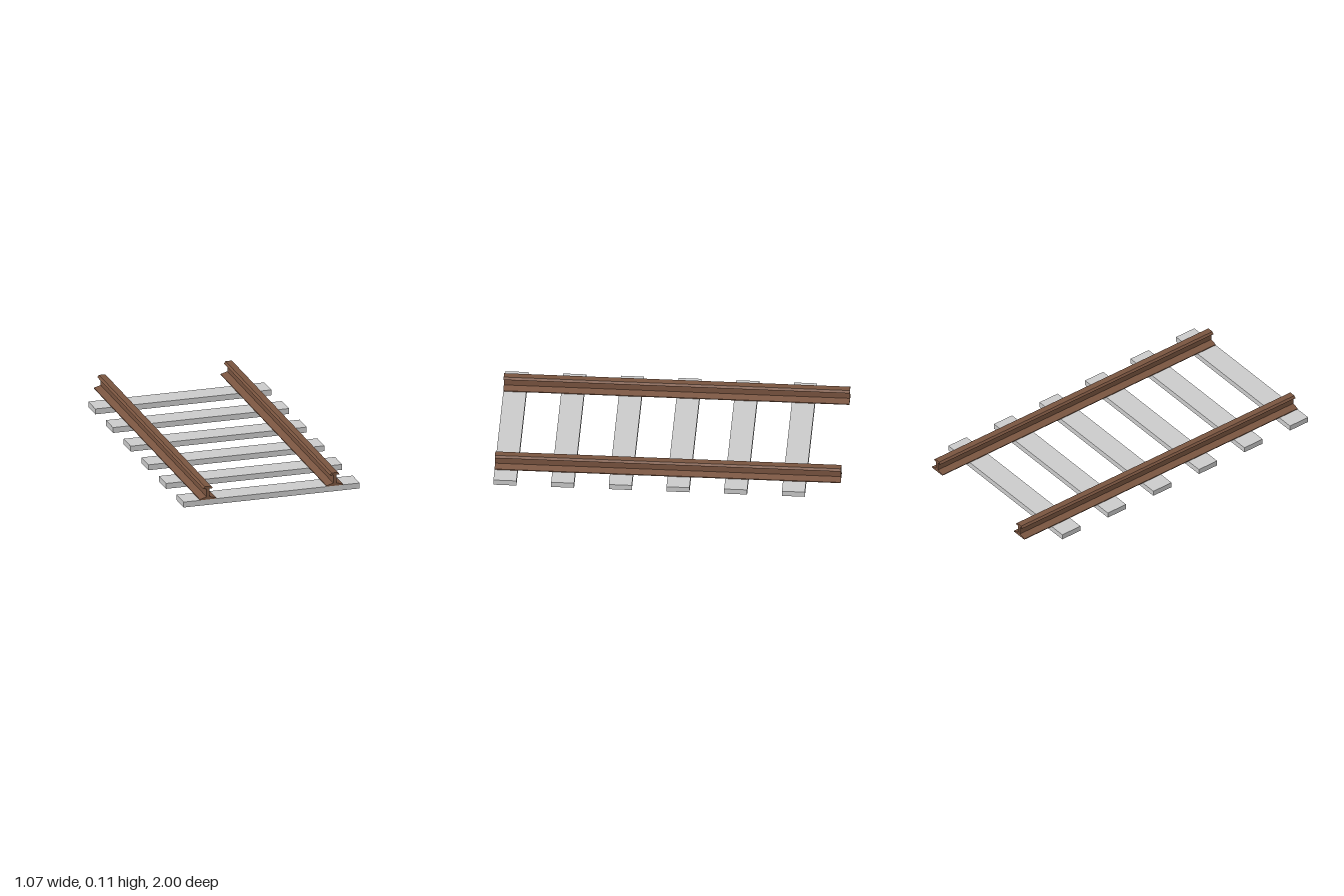
import * as THREE from 'three';

const LENGTH = 2;
const SLEEPER = { width: 1.066, height: 0.033, depth: 0.133, count: 6, spacing: 0.3333 };

// Right half of the rail cross-section, from foot to head, as [x, y]
const HALF_PROFILE = [
  [0.0495, 0.033], [0.0495, 0.038], [0.009, 0.05], [0.009, 0.099],
  [0.028, 0.099], [0.027, 0.103], [0.019, 0.113],
];

function createRailGeometry() {
  const right = HALF_PROFILE.map(([x, y]) => new THREE.Vector2(x, y));
  const left = HALF_PROFILE.map(([x, y]) => new THREE.Vector2(-x, y)).reverse();
  const geometry = new THREE.ExtrudeGeometry(new THREE.Shape([...right, ...left]), {
    depth: LENGTH,
    bevelEnabled: false,
  });
  return geometry.translate(0, 0, -LENGTH / 2);
}

export function createModel() {
  const track = new THREE.Group();
  track.name = 'railwayTrack';

  const sleeperMaterial = new THREE.MeshStandardMaterial({ color: 0xcccccc, flatShading: true });
  const railMaterial = new THREE.MeshStandardMaterial({ color: 0x7a5540, flatShading: true });

  // Sleepers, evenly spaced from the front end of the track
  const sleeperGeometry = new THREE.BoxGeometry(SLEEPER.width, SLEEPER.height, SLEEPER.depth);
  for (let i = 0; i < SLEEPER.count; i++) {
    const sleeper = new THREE.Mesh(sleeperGeometry, sleeperMaterial);
    sleeper.name = `sleeper${i + 1}`;
    sleeper.position.set(0, SLEEPER.height / 2, LENGTH / 2 - SLEEPER.depth / 2 - i * SLEEPER.spacing);
    track.add(sleeper);
  }

  // Pair of rails resting on the sleepers
  const railGeometry = createRailGeometry();
  for (const [name, x] of [['leftRail', 0.382], ['rightRail', -0.385]]) {
    const rail = new THREE.Mesh(railGeometry, railMaterial);
    rail.name = name;
    rail.position.x = x;
    track.add(rail);
  }

  return track;
}
